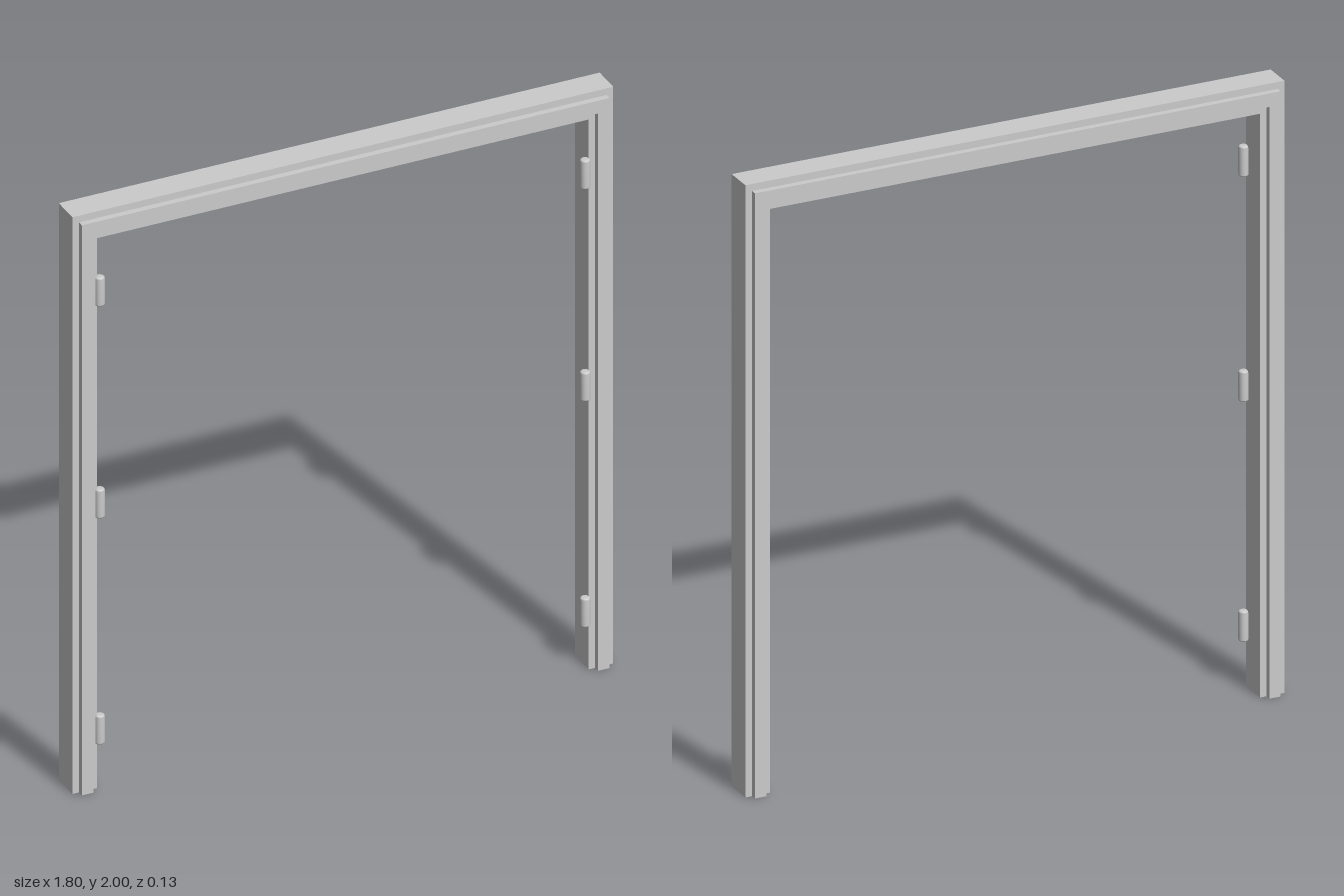
import * as THREE from 'three';

// Stepped moulding section: [inset on the legs, inset on the head, z]
const front = [
  [0, 0, 0.047], [0.022, 0.023, 0.047], [0.022, 0.023, 0.067], [0.06, 0.067, 0.067],
  [0.06, 0.067, 0.047], [0.082, 0.093, 0.047],
];
const section = [...front, ...[...front].reverse().map(([a, b, z]) => [a, b, -z])];

// Sweeps the section up one leg, across the head and down the other, with mitred corners
function frameGeometry(halfWidth, height) {
  const stations = [[-1, 0], [-1, 1], [1, 1], [1, 0]];
  const point = ([side, top], [inset, drop, z]) =>
    [side * (halfWidth - inset), top * (height - drop), z];
  const positions = [];
  for (let i = 0; i < stations.length - 1; i++) {
    for (let k = 0; k < section.length; k++) {
      const p = section[(k + section.length - 1) % section.length];
      const q = section[k];
      const a = point(stations[i], p), b = point(stations[i], q);
      const c = point(stations[i + 1], q), d = point(stations[i + 1], p);
      positions.push(...a, ...b, ...c, ...a, ...c, ...d);
    }
  }
  const geometry = new THREE.BufferGeometry();
  geometry.setAttribute('position', new THREE.Float32BufferAttribute(positions, 3));
  geometry.computeVertexNormals();
  return geometry;
}

export function createModel() {
  const model = new THREE.Group();
  model.name = 'doorFrame';

  // Frame, open at the feet
  const frame = new THREE.Mesh(
    frameGeometry(0.9, 2),
    new THREE.MeshStandardMaterial({ color: 0xcccccc, side: THREE.DoubleSide }),
  );
  frame.name = 'frame';
  model.add(frame);

  // Hinge barrels with softened ends, three on each jamb
  const r = 0.016, h = 0.05, bevel = 0.006;
  const barrel = new THREE.LatheGeometry([
    [0, -h], [r - bevel, -h], [r - bevel * 0.3, -h + bevel * 0.3], [r, -h + bevel],
    [r, h - bevel], [r - bevel * 0.3, h - bevel * 0.3], [r - bevel, h], [0, h],
  ].map(([x, y]) => new THREE.Vector2(x, y)), 20);
  const metal = new THREE.MeshStandardMaterial({ color: 0xcccccc });
  for (const side of [-1, 1]) {
    for (const y of [0.203, 0.987, 1.722]) {
      const hinge = new THREE.Mesh(barrel, metal);
      hinge.name = side > 0 ? 'leftHinge' : 'rightHinge';
      hinge.position.set(side * 0.808, y, 0.044);
      model.add(hinge);
    }
  }
  return model;
}
